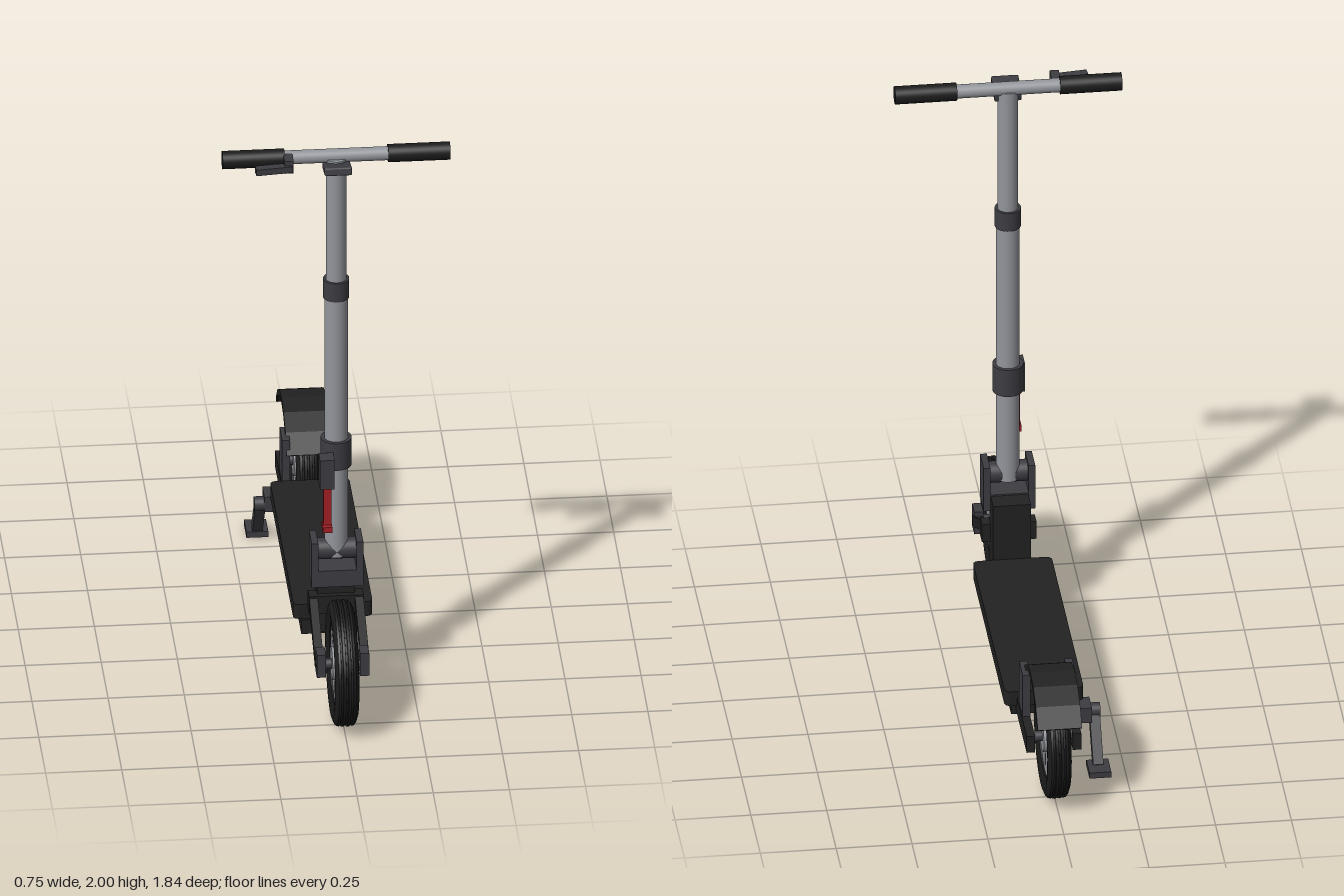
import * as THREE from 'three';
import { toCreasedNormals } from 'three/addons/utils/BufferGeometryUtils.js';
import { RoundedBoxGeometry } from 'three/addons/geometries/RoundedBoxGeometry.js';

const mat = (name, color) => {
  const m = new THREE.MeshStandardMaterial({ color });
  m.name = name;
  return m;
};

export function createModel() {
  const root = new THREE.Group();
  root.name = 'kickScooter';
  const rubber = mat('rubber', 0x1c1c1c);
  const black = mat('blackFrame', 0x222222);
  const dark = mat('darkGrey', 0x3d3c42);
  const metal = mat('brushedMetal', 0x92959b);
  const red = mat('red', 0xa32025);

  const add = (name, geo, material, x = 0, y = 0, z = 0, parent = root) => {
    const m = new THREE.Mesh(geo, material);
    m.name = name;
    m.position.set(x, y, z);
    parent.add(m);
    return m;
  };
  // Box given by its low and high limits on each axis
  const box = (name, material, [x0, x1], [y0, y1], [z0, z1]) =>
    add(name, new THREE.BoxGeometry(x1 - x0, y1 - y0, z1 - z0), material,
      (x0 + x1) / 2, (y0 + y1) / 2, (z0 + z1) / 2);
  // Rectangular bar running between two points
  const bar = (name, material, a, b, w, h) => {
    const p = new THREE.Vector3(...a), q = new THREE.Vector3(...b);
    const c = p.clone().add(q).multiplyScalar(0.5);
    const m = add(name, new THREE.BoxGeometry(w, h, p.distanceTo(q)), material, c.x, c.y, c.z);
    m.lookAt(q);
    return m;
  };
  const post = (name, material, r, y0, y1, z = 0.487) =>
    add(name, new THREE.CylinderGeometry(r, r, y1 - y0, 32), material, 0, (y0 + y1) / 2, z);
  const rod = (name, material, r, x0, x1, y, z, parent = root) =>
    add(name, new THREE.CylinderGeometry(r, r, x1 - x0, 32).rotateZ(Math.PI / 2),
      material, (x0 + x1) / 2, y, z, parent);
  // Extrude a (z, y) shape across x, centred on x = 0
  const across = (shape, width) =>
    new THREE.ExtrudeGeometry(shape, { depth: width, bevelEnabled: false, curveSegments: 48 })
      .translate(0, 0, -width / 2).rotateY(-Math.PI / 2);

  // Wheels: grooved tyre, slotted rim disc and hub
  const tyreProfile = [
    [0.138, -0.03], [0.16, -0.038], [0.182, -0.04], [0.198, -0.034], [0.205, -0.028],
    [0.207, -0.02], [0.2, -0.019], [0.2, -0.014], [0.208, -0.013], [0.208, -0.004],
    [0.201, -0.003],
  ];
  const profile = [...tyreProfile, ...tyreProfile.map(([r, y]) => [r, -y]).reverse(), tyreProfile[0]]
    .map(([r, y]) => new THREE.Vector2(r, y));
  const tyreGeo = toCreasedNormals(new THREE.LatheGeometry(profile, 64).rotateZ(Math.PI / 2), 0.6);
  const rim = new THREE.Shape().absarc(0, 0, 0.141, 0, Math.PI * 2);
  for (let i = 0; i < 6; i++) {
    const a = Math.PI / 2 + (i * Math.PI) / 3, c = Math.cos(a), s = Math.sin(a);
    rim.holes.push(new THREE.Path([[0.066, -0.006], [0.112, -0.006], [0.112, 0.006], [0.066, 0.006]]
      .map(([u, v]) => new THREE.Vector2(u * c - v * s, u * s + v * c))));
  }
  const rimGeo = across(rim, 0.05);
  for (const [name, z] of [['frontWheel', 0.713], ['rearWheel', -0.708]]) {
    const wheel = new THREE.Group();
    wheel.name = name;
    wheel.position.set(0, 0.211, z);
    root.add(wheel);
    add('tyre', tyreGeo, rubber, 0, 0, 0, wheel);
    add('rim', rimGeo, metal, 0, 0, 0, wheel);
    rod('hub', metal, 0.055, -0.036, 0.036, 0, 0, wheel);
    rod('axle', dark, 0.018, -0.088, 0.088, 0, 0, wheel);
  }

  // Deck: rounded foot board over a narrower battery box
  const board = new THREE.Shape();
  const hw = 0.13, z0 = -0.375, z1 = 0.485, r = 0.022;
  board.moveTo(-hw + r, z0).lineTo(hw - r, z0).quadraticCurveTo(hw, z0, hw, z0 + r)
    .lineTo(hw, z1 - r).quadraticCurveTo(hw, z1, hw - r, z1)
    .lineTo(-hw + r, z1).quadraticCurveTo(-hw, z1, -hw, z1 - r)
    .lineTo(-hw, z0 + r).quadraticCurveTo(-hw, z0, -hw + r, z0);
  add('footBoard', new THREE.ExtrudeGeometry(board, { depth: 0.053, bevelEnabled: false })
    .rotateX(-Math.PI / 2), black, 0, 0.2, 0);
  box('batteryBox', black, [-0.105, 0.105], [0.148, 0.2], [-0.45, 0.384]);

  // Neck and front fork
  box('neck', black, [-0.062, 0.062], [0.205, 0.455], [0.374, 0.478]);
  box('forkCrown', black, [-0.09, 0.09], [0.28, 0.345], [0.45, 0.497]);
  for (const s of [-1, 1]) {
    bar('forkArm', black, [s * 0.075, 0.325, 0.485], [s * 0.075, 0.208, 0.71], 0.028, 0.035);
    box('frontAxleBlock', dark, [s * 0.071 - 0.015, s * 0.071 + 0.015], [0.175, 0.258], [0.683, 0.742]);
  }

  // Folding hinge at the foot of the stem
  for (const s of [-1, 1])
    box('hingePlate', dark, [s * 0.074 - 0.011, s * 0.074 + 0.011], [0.4, 0.562], [0.442, 0.538]);
  rod('hingeBarrel', dark, 0.036, -0.065, 0.065, 0.52, 0.49);
  box('hingeBase', dark, [-0.065, 0.065], [0.4, 0.46], [0.442, 0.538]);

  // Telescopic stem with collars
  post('lowerStem', metal, 0.039, 0.5, 1.48);
  post('upperStem', metal, 0.034, 1.48, 1.965);
  post('upperCollar', dark, 0.043, 1.45, 1.518);
  post('lowerCollar', dark, 0.051, 0.83, 0.93);

  // Quick-release clamp
  box('clampBody', dark, [-0.062, -0.014], [0.79, 0.897], [0.535, 0.59]);
  box('clampLever', red, [-0.049, -0.024], [0.645, 0.79], [0.554, 0.577]);
  box('clampLeverTip', red, [-0.053, -0.022], [0.632, 0.652], [0.548, 0.596]);

  // Handlebar, grips, display and brake lever
  const barY = 1.97, barZ = 0.482;
  rod('handlebar', metal, 0.023, -0.3, 0.3, barY, barZ);
  for (const s of [-1, 1])
    rod('grip', rubber, 0.03, s * 0.272 - 0.102, s * 0.272 + 0.102, barY, barZ);
  const display = add('display', new RoundedBoxGeometry(0.09, 0.028, 0.1, 2, 0.006), dark, 0, 1.946, 0.525);
  display.rotation.x = -0.22;
  box('leverMount', dark, [-0.175, -0.145], [1.945, 1.99], [0.48, 0.548]);
  bar('brakeLever', dark, [-0.15, 1.962, 0.54], [-0.27, 1.962, 0.553], 0.03, 0.022);

  // Rear swing arms and mudguard brackets
  for (const s of [-1, 1]) {
    box('rearArm', black, [s * 0.076 - 0.014, s * 0.076 + 0.014], [0.168, 0.229], [-0.74, -0.45]);
    box('mudguardBracket', dark, [s * 0.074 - 0.013, s * 0.074 + 0.013], [0.2, 0.385], [-0.61, -0.517]);
  }

  // Mudguard: faceted arc over the rear wheel
  const guard = new THREE.Shape();
  const arc = (rad) => Array.from({ length: 7 }, (_, i) => {
    const a = 0.55 + (i / 6) * 2.0;
    return new THREE.Vector2(Math.cos(a) * rad, Math.sin(a) * rad);
  });
  guard.setFromPoints([...arc(0.236), ...arc(0.217).reverse()]);
  add('mudguard', across(guard, 0.146), black, 0, 0.211, -0.705);

  // Kickstand on the right-hand side
  box('standBracket', dark, [-0.15, -0.085], [0.15, 0.205], [-0.54, -0.465]);
  rod('standPivot', dark, 0.024, -0.182, -0.12, 0.17, -0.49);
  bar('standLeg', dark, [-0.163, 0.175, -0.482], [-0.163, 0.02, -0.595], 0.034, 0.034);
  box('standFoot', dark, [-0.2, -0.128], [0.004, 0.025], [-0.652, -0.565]);

  return root;
}
